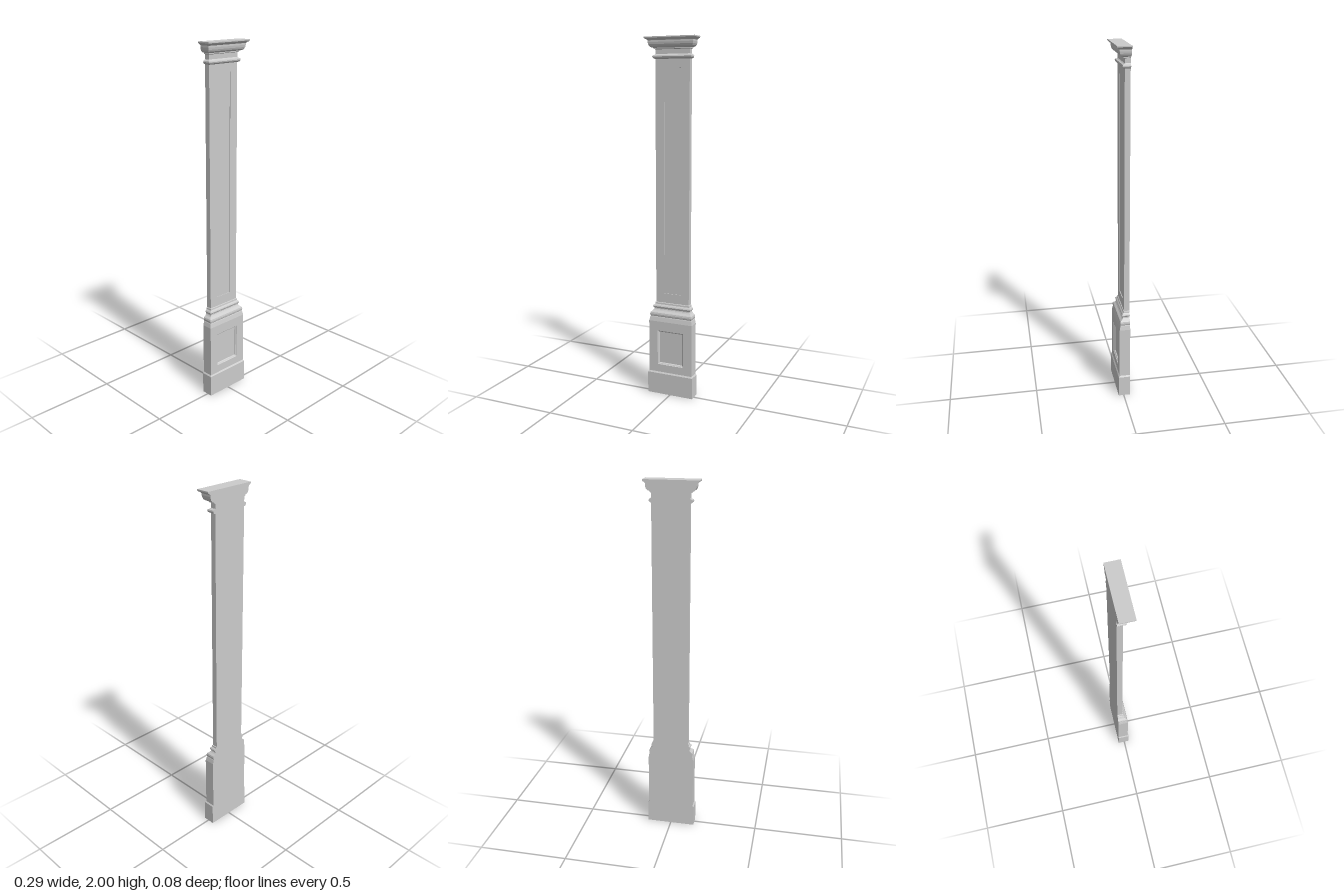
import * as THREE from 'three';

const BACK = -0.038;       // flat rear plane
const HALF = 0.1;          // shaft half width
const FRONT = -0.008;      // shaft front plane

const material = new THREE.MeshStandardMaterial({ color: 0xcccccc, flatShading: true });

// Skin a series of four-cornered loops and close both ends.
function loft(loops) {
  const pos = [];
  const quad = (a, b, c, d) => pos.push(...a, ...b, ...c, ...a, ...c, ...d);
  for (let k = 0; k + 1 < loops.length; k++) {
    for (let i = 0; i < 4; i++) {
      const j = (i + 1) % 4;
      quad(loops[k][i], loops[k][j], loops[k + 1][j], loops[k + 1][i]);
    }
  }
  quad(...[...loops[0]].reverse());
  quad(...loops[loops.length - 1]);
  const geo = new THREE.BufferGeometry();
  geo.setAttribute('position', new THREE.Float32BufferAttribute(pos, 3));
  geo.computeVertexNormals();
  return geo;
}

// Horizontal loop: projects by "out" at the front and both sides.
function course([out, y]) {
  const w = HALF + out, f = FRONT + out;
  return [[-w, y, f], [w, y, f], [w, y, BACK], [-w, y, BACK]];
}

// Upright rectangle at depth z.
const upright = (w, y0, y1, z) => [[-w, y0, z], [w, y0, z], [w, y1, z], [-w, y1, z]];

// Block whose front holds a stepped sunken panel; steps are [inset, depth].
function panelledBlock(out, y0, y1, panel, steps) {
  const w = HALF + out, f = FRONT + out;
  const loops = [upright(w, y0, y1, BACK), upright(w, y0, y1, f)];
  for (const [inset, depth] of steps) {
    loops.push(upright(panel.w - inset, panel.y0 + inset, panel.y1 - inset, f - depth));
  }
  return loft(loops);
}

export function createModel() {
  const group = new THREE.Group();
  const add = (name, geo) => {
    const mesh = new THREE.Mesh(geo, material);
    mesh.name = name;
    group.add(mesh);
  };
  const moulding = (name, profile) => add(name, loft(profile.map(course)));

  // Plinth with a small chamfer on top
  moulding('plinth', [[0.037, 0], [0.037, 0.122], [0.031, 0.13]]);

  // Pedestal with moulded sunken panel
  add('pedestal', panelledBlock(0.031, 0.13, 0.43, { w: 0.078, y0: 0.175, y1: 0.376 },
    [[0, 0], [0.002, 0.004], [0.006, 0.006], [0.009, 0.012]]));

  // Stepped and rounded base moulding
  moulding('baseMoulding', [
    [0.031, 0.43], [0.026, 0.453], [0.024, 0.458], [0.026, 0.462], [0.027, 0.47],
    [0.025, 0.479], [0.021, 0.483], [0.014, 0.489], [0.009, 0.496], [0.008, 0.502],
    [0.012, 0.506], [0.014, 0.513], [0.011, 0.519], [0.005, 0.525], [0.004, 0.534],
    [0, 0.536],
  ]);

  // Shaft with long shallow panel
  add('shaft', panelledBlock(0, 0.536, 1.885, { w: 0.05, y0: 0.59, y1: 1.84 },
    [[0, 0], [0, 0.004]]));

  // Neck ring
  moulding('neckRing', [
    [0, 1.885], [0.007, 1.888], [0.011, 1.892], [0.013, 1.898], [0.011, 1.904],
    [0.004, 1.907], [0, 1.911],
  ]);

  // Capital: neck, curved flare and thin top slab
  moulding('capital', [
    [0, 1.911], [0, 1.935], [0.007, 1.938], [0.007, 1.943], [0.018, 1.946],
    [0.025, 1.952], [0.029, 1.961], [0.031, 1.972], [0.031, 1.981], [0.036, 1.986],
    [0.043, 1.99], [0.046, 1.994], [0.046, 2],
  ]);

  return group;
}
